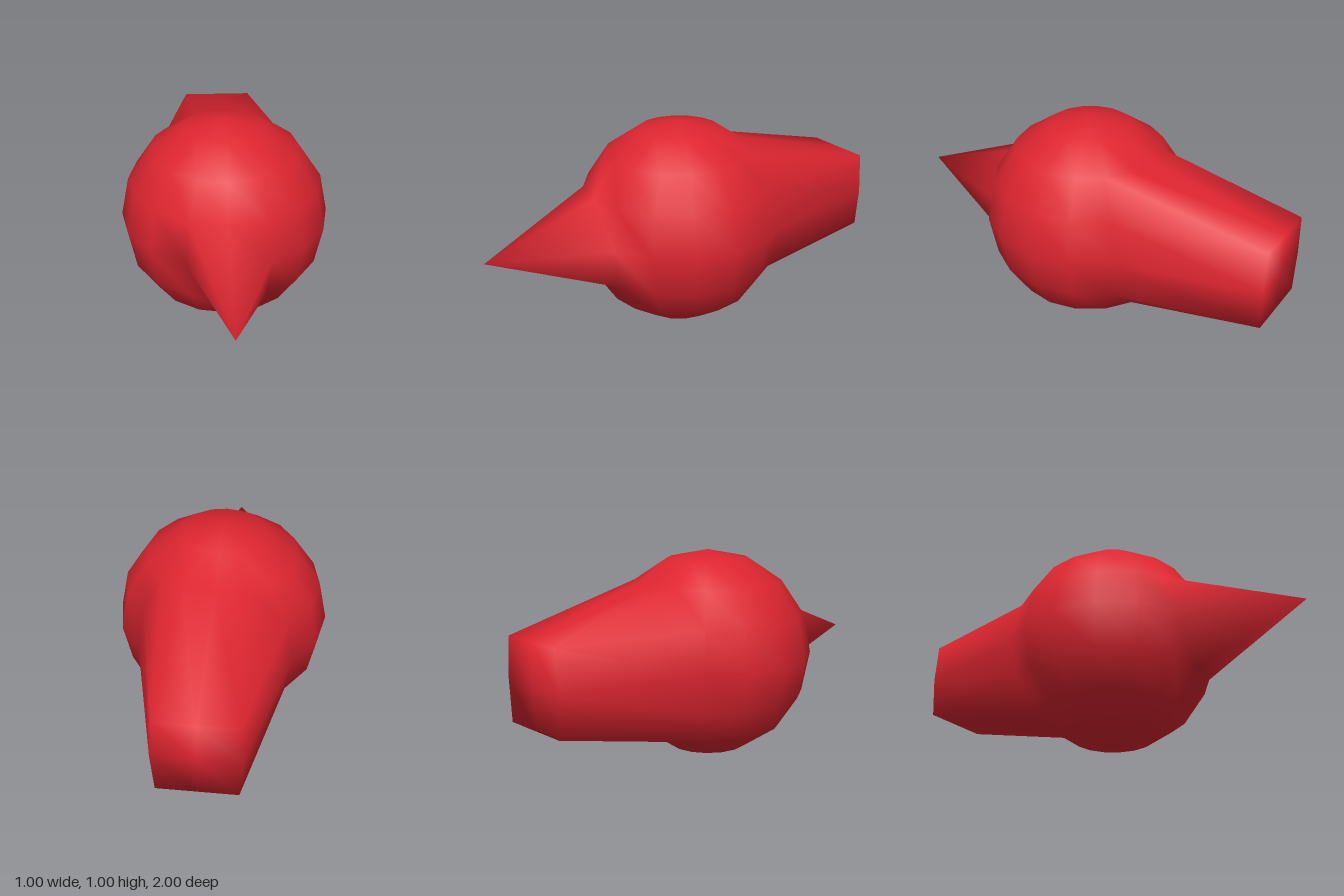
import * as THREE from 'three';
import { mergeVertices } from 'three/addons/utils/BufferGeometryUtils.js';

export function createModel() {
  const group = new THREE.Group();
  const red = new THREE.MeshStandardMaterial({ color: 0xdd2530 });
  red.name = 'red';

  // Low-poly ball, welded so that shading runs smoothly over seam and poles
  let ball = new THREE.SphereGeometry(0.5, 16, 8);
  ball.deleteAttribute('uv');
  ball.deleteAttribute('normal');
  ball = mergeVertices(ball, 1e-4);

  const p = ball.attributes.position;
  for (let i = 0; i < p.count; i++) {
    const x = p.getX(i), y = p.getY(i), z = p.getZ(i);
    // Front spike: the single foremost point
    if (z > 0.49) p.setZ(i, 1);
    // Rear block: the patch of nine rearmost points, flattened
    if (z < -0.4 && Math.abs(x) < 0.2 && Math.abs(y) < 0.2) p.setZ(i, -1);
  }
  ball.translate(0, 0.5, 0);
  ball.computeVertexNormals();

  const body = new THREE.Mesh(ball, red);
  body.name = 'spikedBody';
  group.add(body);
  return group;
}
